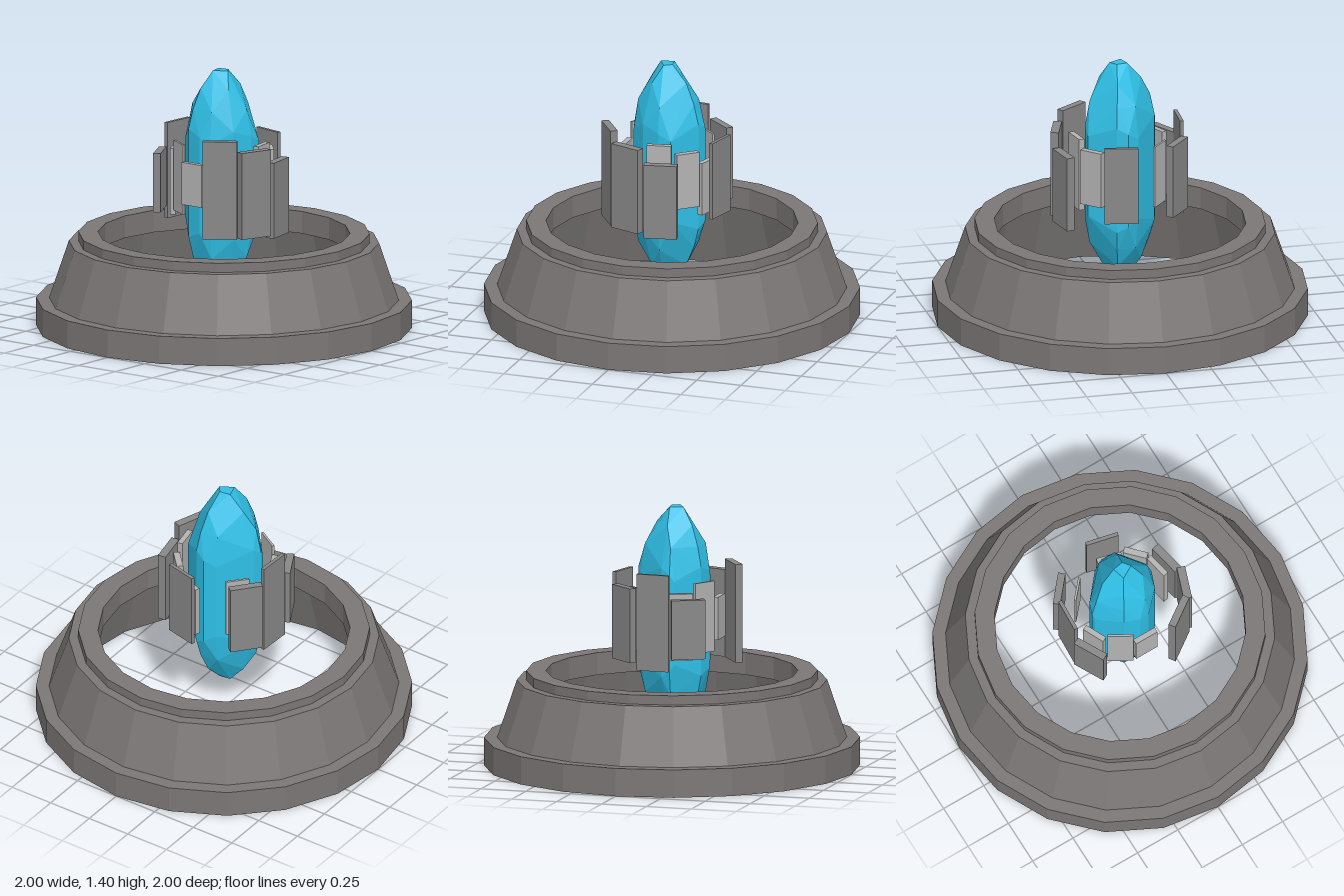
import * as THREE from 'three';
import { ConvexGeometry } from 'three/addons/geometries/ConvexGeometry.js';

const paint = (color) => new THREE.MeshStandardMaterial({ color, flatShading: true });

// Hollow twenty-sided stepped base ring
function baseRing() {
  const profile = [
    [0.87, 0], [1, 0], [1, 0.15], [0.93, 0.15], [0.825, 0.46], [0.775, 0.46],
    [0.775, 0.51], [0.67, 0.51], [0.67, 0.39], [0.76, 0.39], [0.87, 0],
  ].map(([r, y]) => new THREE.Vector2(r, y));
  const ring = new THREE.Mesh(new THREE.LatheGeometry(profile, 20), paint(0x7c7777));
  ring.name = 'baseRing';
  return ring;
}

// Faceted crystal: an uneven outline tapering to a small cut at both ends
function crystal() {
  const outline = [
    [-0.205, 0.05], [-0.19, 0.0], [-0.06, -0.16], [0, -0.188], [0.06, -0.17], [0.19, -0.06],
    [0.19, 0.01], [0.15, 0.11], [0.06, 0.195], [0, 0.21], [-0.09, 0.19], [-0.2, 0.075],
  ];
  const points = [];
  const add = (x, y, z) => points.push(new THREE.Vector3(x, y, z));
  const cx = 0, cz = 0.03, middle = 0.8;
  for (const side of [1, -1]) {
    outline.forEach(([x, z], i) => {
      add(x, middle + side * (0.26 + 0.04 * Math.sin(i * 2.1)), z);
      // shoulder corners on every other outline point, crown corners on every third
      if (i % 2 === 0) add(cx + (x - cx) * 0.86, middle + side * 0.4, cz + (z - cz) * 0.86);
      if (i % 3 === 1) add(cx + (x - cx) * 0.62, middle + side * 0.51, cz + (z - cz) * 0.62);
    });
    for (const [x, z] of [[-0.04, 0], [0.02, -0.01], [0.05, 0.03], [-0.02, 0.07]]) add(x, middle + side * 0.6, z);
  }
  const mesh = new THREE.Mesh(new ConvexGeometry(points), paint(0x2fbfe6));
  mesh.name = 'crystal';
  return mesh;
}

// Upright slab standing on the plan line from (x1, z1) to (x2, z2)
function plate([x1, z1, x2, z2, thickness, bottom, top], material, name) {
  const dx = x2 - x1, dz = z2 - z1;
  const mesh = new THREE.Mesh(new THREE.BoxGeometry(Math.hypot(dx, dz), top - bottom, thickness), material);
  mesh.position.set((x1 + x2) / 2, (bottom + top) / 2, (z1 + z2) / 2);
  mesh.rotation.y = -Math.atan2(dz, dx);
  mesh.name = name;
  return mesh;
}

// x1, z1, x2, z2, thickness, bottom, top
const OUTER = [
  [-0.02, -0.315, 0.155, -0.275, 0.02, 0.605, 1.03],
  [0.305, -0.14, 0.34, 0.035, 0.045, 0.53, 0.94],
  [0.345, 0.055, 0.285, 0.225, 0.045, 0.55, 1.02],
  [0.12, 0.335, 0.27, 0.23, 0.04, 0.55, 1.08],
  [-0.335, 0.1, -0.25, 0.26, 0.04, 0.63, 0.95],
  [-0.315, -0.095, -0.325, 0.085, 0.02, 0.56, 1.08],
  [-0.325, -0.115, -0.21, -0.25, 0.04, 0.6, 1.0],
];
const INNER = [
  [0.003, -0.24, 0.135, -0.205, 0.03, 0.615, 0.905],
  [0.145, -0.2, 0.235, -0.105, 0.035, 0.67, 0.975],
  [0.23, -0.08, 0.255, 0.05, 0.03, 0.62, 1.02],
  [-0.068, 0.262, 0.065, 0.262, 0.03, 0.7, 0.93],
  [-0.19, 0.185, -0.07, 0.255, 0.012, 0.64, 1.02],
  [-0.26, 0.065, -0.205, 0.18, 0.03, 0.61, 0.97],
  [-0.225, -0.09, -0.14, -0.185, 0.012, 0.64, 0.98],
];

// Two uneven rings of floating plates
function plateRing(name, list, color) {
  const group = new THREE.Group();
  group.name = name;
  const material = paint(color);
  list.forEach((spec, i) => group.add(plate(spec, material, `${name}Plate${i + 1}`)));
  return group;
}

export function createModel() {
  const model = new THREE.Group();
  model.name = 'crystalPedestal';
  model.add(
    baseRing(),
    crystal(),
    plateRing('outer', OUTER, 0x888888),
    plateRing('inner', INNER, 0xb4b4b4),
  );
  return model;
}
